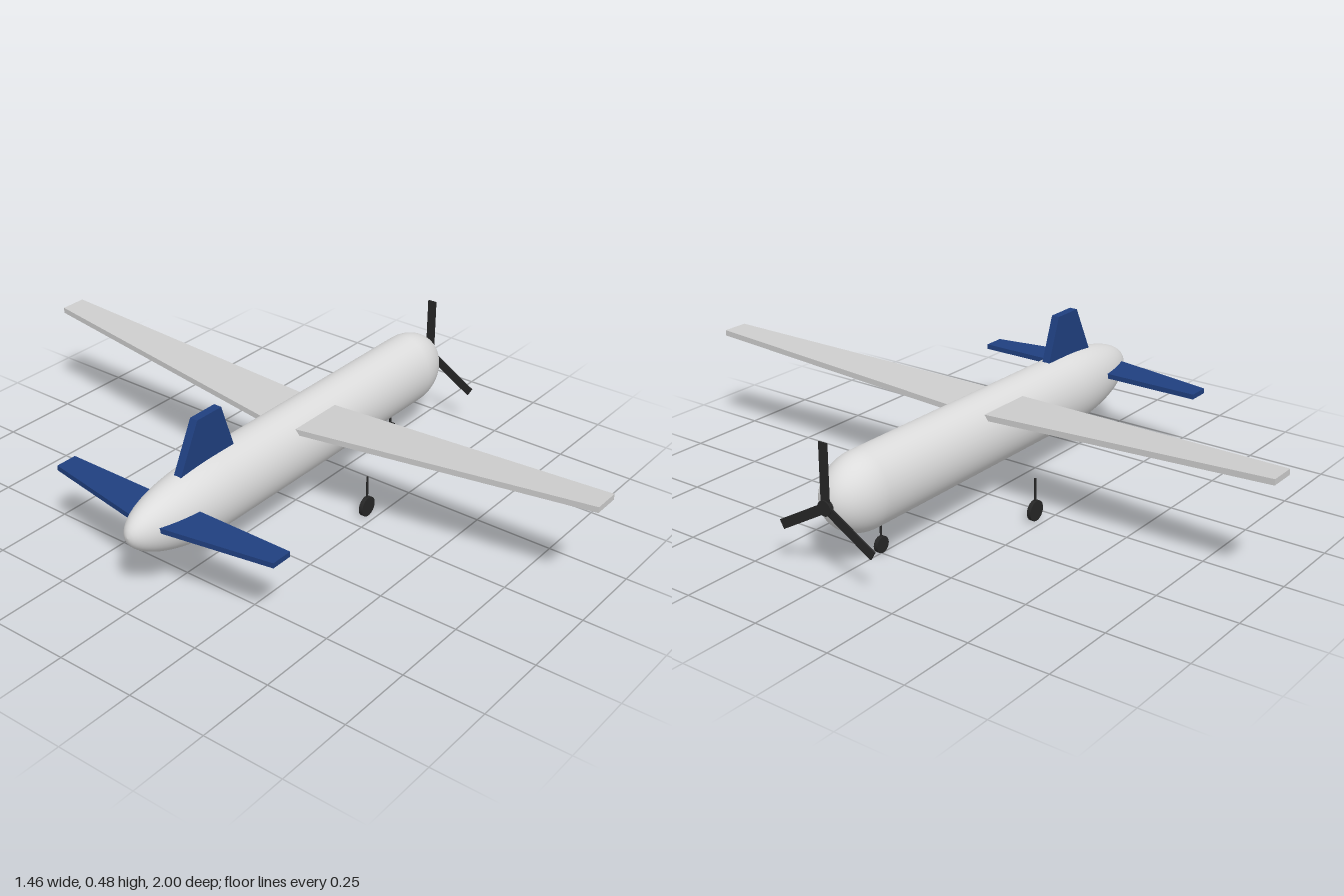
import * as THREE from 'three';

const mat = (name, color) => {
  const m = new THREE.MeshStandardMaterial({ color });
  m.name = name;
  return m;
};

export function createModel() {
  const group = new THREE.Group();
  const bodyGrey = mat('bodyGrey', 0xdcdcdc);
  const wingGrey = mat('wingGrey', 0xcccccc);
  const tailBlue = mat('tailBlue', 0x1f3f7f);
  const black = mat('black', 0x262626);

  const add = (name, geometry, material, x = 0, y = 0, z = 0, parent = group) => {
    const mesh = new THREE.Mesh(geometry, material);
    mesh.name = name;
    mesh.position.set(x, y, z);
    parent.add(mesh);
    return mesh;
  };

  // Fuselage: long elliptical tail, straight barrel, rounded nose
  const axisY = 0.223, tailX = -0.38, noseX = 0.57;
  const profile = [];
  for (let i = 0; i <= 16; i++) {
    const a = (i / 16) * Math.PI / 2;
    profile.push(new THREE.Vector2(Math.sin(a), tailX - 0.35 * Math.cos(a)));
  }
  for (let i = 0; i <= 16; i++) {
    const a = (i / 16) * Math.PI / 2;
    profile.push(new THREE.Vector2(Math.cos(a), noseX + 0.144 * Math.sin(a)));
  }
  profile[0].x = profile[profile.length - 1].x = 0;
  const hull = new THREE.LatheGeometry(profile, 48);
  hull.rotateZ(-Math.PI / 2);
  hull.scale(1, 0.118, 0.098);
  // Lift the tail tip slightly
  const hp = hull.attributes.position;
  for (let i = 0; i < hp.count; i++) {
    const t = Math.max(0, (tailX - hp.getX(i)) / 0.35);
    hp.setY(i, hp.getY(i) + 0.012 * t * t);
  }
  add('fuselage', hull, bodyGrey, 0, axisY, 0);

  // Tapered panel running from the centreline out to one side
  const panel = (side, span, root, tip, thickness) => {
    const g = new THREE.BoxGeometry(1, 1, 1);
    const p = g.attributes.position;
    for (let i = 0; i < p.count; i++) {
      const outer = p.getZ(i) * side > 0;
      const s = outer ? tip : root;
      p.setXYZ(i,
        p.getX(i) > 0 ? s.front : s.back,
        s.y + p.getY(i) * thickness,
        outer ? side * span : 0);
    }
    g.computeVertexNormals();
    return g;
  };

  for (const [side, label] of [[1, 'left'], [-1, 'right']]) {
    // Wings with dihedral
    add(label + 'Wing', panel(side, 1,
      { back: -0.093, front: 0.105, y: 0.298 },
      { back: 0.02, front: 0.105, y: 0.346 }, 0.018), wingGrey);
    // Horizontal tail
    add(label + 'Tailplane', panel(side, 0.4,
      { back: -0.67, front: -0.53, y: 0.247 },
      { back: -0.6, front: -0.53, y: 0.247 }, 0.016), tailBlue);
  }

  // Vertical fin
  const finShape = new THREE.Shape([
    [-0.54, 0.3], [-0.287, 0.3], [-0.35, 0.48], [-0.45, 0.48],
  ].map(([x, y]) => new THREE.Vector2(x, y)));
  add('fin', new THREE.ExtrudeGeometry(finShape, { depth: 0.026, bevelEnabled: false }),
    tailBlue, 0, 0, -0.013);

  // Three-bladed propeller
  const propeller = new THREE.Group();
  propeller.name = 'propeller';
  propeller.position.set(0.72, axisY, 0);
  group.add(propeller);
  const hub = new THREE.CylinderGeometry(0.023, 0.023, 0.014, 24);
  hub.rotateZ(-Math.PI / 2);
  add('hub', hub, black, 0, 0, 0, propeller);
  for (let i = 0; i < 3; i++) {
    const blade = new THREE.BoxGeometry(0.005, 0.189, 0.029);
    blade.translate(0, 0.0945, 0);
    add('blade', blade, black, 0, 0, 0, propeller).rotation.x = i * Math.PI * 2 / 3;
  }

  // Landing gear: strut and wheel
  const gear = (name, x, z, radius, wheelY, strutTop) => {
    const leg = new THREE.Group();
    leg.name = name;
    leg.position.set(x, 0, z);
    group.add(leg);
    const wheel = new THREE.CylinderGeometry(radius, radius, 0.013, 24);
    wheel.rotateX(Math.PI / 2);
    add('wheel', wheel, black, 0, wheelY, 0, leg);
    const length = strutTop - wheelY;
    add('strut', new THREE.CylinderGeometry(0.0035, 0.0035, length, 12), black,
      0, wheelY + length / 2, 0, leg);
  };
  gear('leftMainGear', 0.065, 0.222, 0.032, 0.032, 0.135);
  gear('rightMainGear', 0.065, -0.222, 0.032, 0.032, 0.135);
  gear('noseGear', 0.5, 0, 0.025, 0.028, 0.13);

  return group;
}
